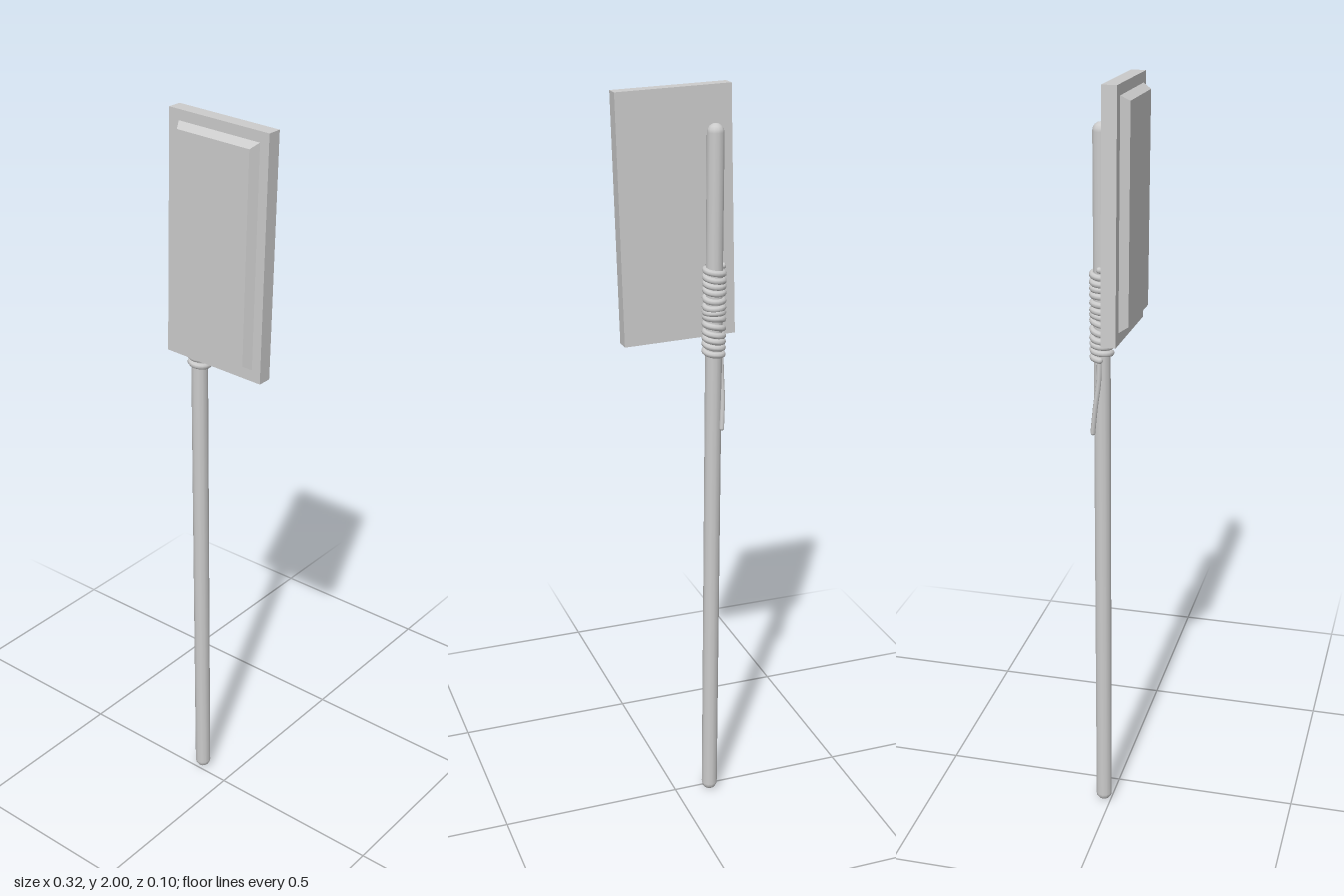
import * as THREE from 'three';

const POLE_X = -0.097, POLE_Z = -0.02;

function addMesh(parent, name, geometry, flatShading = false) {
  const material = new THREE.MeshStandardMaterial({ color: 0xcccccc, flatShading });
  const mesh = new THREE.Mesh(geometry, material);
  mesh.name = name;
  parent.add(mesh);
  return mesh;
}

// Box whose front face is pulled in by an even margin
function bevelledPanel(w, h, d, inset) {
  const geo = new THREE.BoxGeometry(w, h, d);
  const p = geo.attributes.position;
  for (let i = 0; i < p.count; i++) {
    if (p.getZ(i) > 0) {
      p.setX(i, p.getX(i) - Math.sign(p.getX(i)) * inset);
      p.setY(i, p.getY(i) - Math.sign(p.getY(i)) * inset);
    }
  }
  geo.computeVertexNormals();
  return geo;
}

// Rope tube with rounded tips
function addRope(parent, name, points, radius, segments) {
  const curve = new THREE.CatmullRomCurve3(points);
  addMesh(parent, name, new THREE.TubeGeometry(curve, segments, radius, 8));
  for (const tip of [points[0], points[points.length - 1]]) {
    addMesh(parent, name + 'Tip', new THREE.SphereGeometry(radius, 8, 6)).position.copy(tip);
  }
}

export function createModel() {
  const model = new THREE.Group();

  // Slightly tilted board with a raised, bevelled face
  const sign = new THREE.Group();
  sign.name = 'sign';
  sign.position.set(-0.002, 1.68, 0);
  sign.rotation.z = -0.029;
  model.add(sign);
  addMesh(sign, 'board', new THREE.BoxGeometry(0.298, 0.632, 0.038), true).position.z = 0.011;
  addMesh(sign, 'facePanel', bevelledPanel(0.242, 0.574, 0.022, 0.013), true)
    .position.set(0.002, 0.002, 0.041);

  // Pole with domed ends
  const r = 0.022;
  const profile = [];
  for (let i = 0; i <= 4; i++) {
    const a = (i / 4) * Math.PI / 2;
    profile.push(new THREE.Vector2(r * Math.sin(a), r * (1 - Math.cos(a))));
  }
  for (let i = 4; i >= 0; i--) {
    const a = (i / 4) * Math.PI / 2;
    profile.push(new THREE.Vector2(r * Math.sin(a), 1.908 - r * (1 - Math.cos(a))));
  }
  addMesh(model, 'pole', new THREE.LatheGeometry(profile, 12)).position.set(POLE_X, 0, POLE_Z);

  // Rope wound around the pole, with slightly uneven turns
  const lashing = new THREE.Group();
  lashing.name = 'lashing';
  model.add(lashing);
  const turns = 13, steps = 12, coil = [];
  for (let i = 0; i <= turns * steps; i++) {
    const t = i / (turns * steps);
    const a = Math.PI + (i / steps) * Math.PI * 2;
    const wobble = 0.004 * Math.sin(t * 19) + 0.003 * Math.sin(a + t * 8);
    coil.push(new THREE.Vector3(
      POLE_X + 0.0235 * Math.cos(a),
      1.32 + 0.232 * t + wobble * Math.sin(Math.PI * t),
      POLE_Z - 0.0005 + 0.0235 * Math.sin(a)));
  }
  addRope(lashing, 'ropeCoil', coil, 0.0082, turns * 20);

  // Loose rope end hanging below the coil
  addRope(lashing, 'ropeTail', [
    new THREE.Vector3(-0.117, 1.32, -0.022),
    new THREE.Vector3(-0.119, 1.26, -0.024),
    new THREE.Vector3(-0.119, 1.20, -0.032),
    new THREE.Vector3(-0.116, 1.15, -0.038),
    new THREE.Vector3(-0.114, 1.122, -0.041),
  ], 0.0065, 20);

  return model;
}
